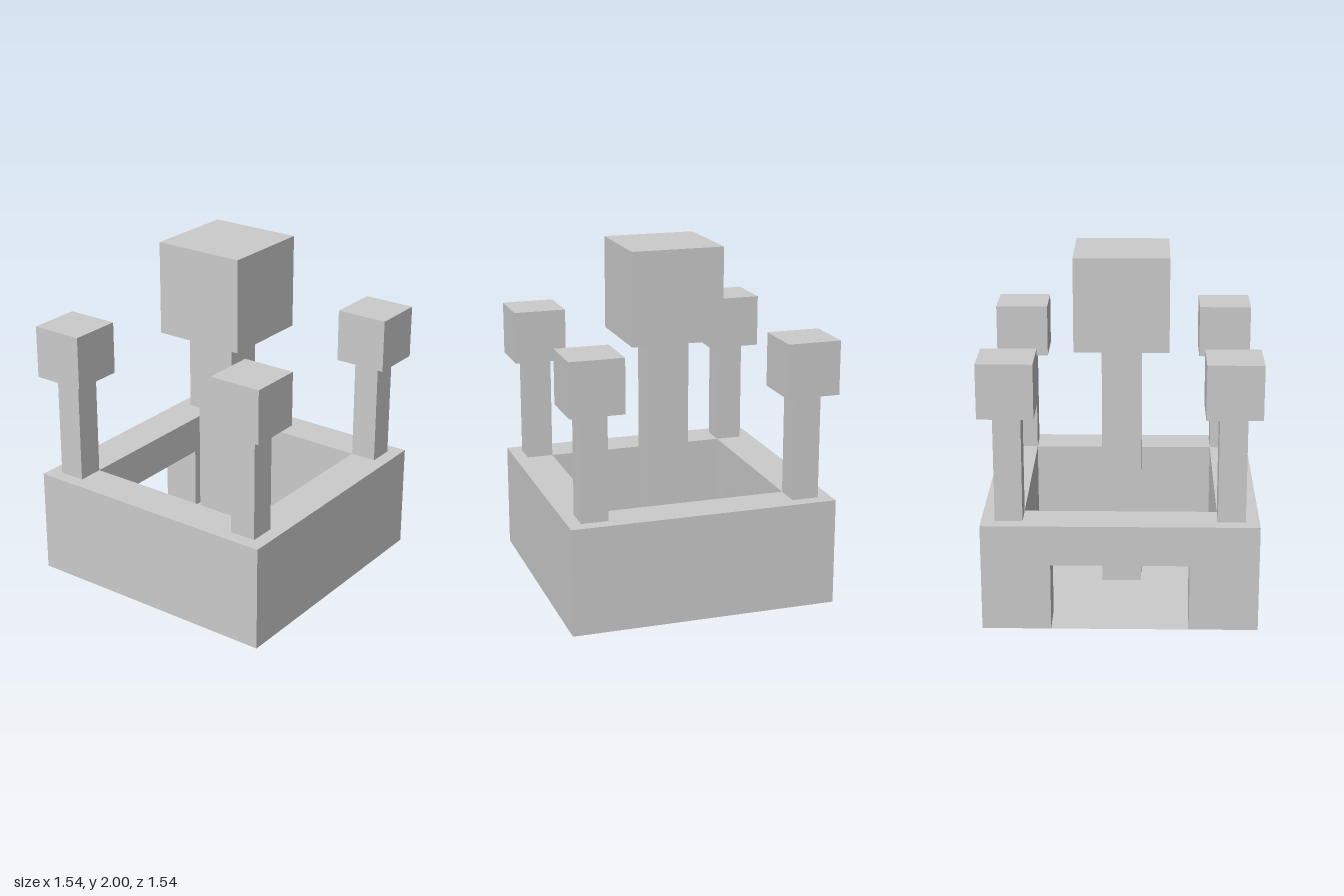
import * as THREE from 'three';
import { mergeGeometries } from 'three/addons/utils/BufferGeometryUtils.js';

// Everything sits on a grid of 26 units for the full height.
const U = 2 / 26;
const mat = new THREE.MeshStandardMaterial({ color: 0xcccccc, flatShading: true, side: THREE.DoubleSide });

function add(parent, name, geometry, x = 0, y = 0, z = 0) {
  const mesh = new THREE.Mesh(geometry, mat);
  mesh.name = name;
  mesh.position.set(x, y, z);
  parent.add(mesh);
  return mesh;
}

function square(half, Type = THREE.Shape) {
  return new Type([
    new THREE.Vector2(-half, -half), new THREE.Vector2(half, -half),
    new THREE.Vector2(half, half), new THREE.Vector2(-half, half),
  ]);
}

// Flat square lying at height y, with a square hole in it
function squareRing(half, holeHalf, y) {
  const shape = square(half);
  shape.holes.push(square(holeHalf, THREE.Path));
  return new THREE.ShapeGeometry(shape).rotateX(-Math.PI / 2).translate(0, y, 0);
}

// Upright wall face, optionally with a doorway rising from the ground
function wallFace(half, height, door) {
  const pts = [[-half, 0]];
  if (door) pts.push([-door.half, 0], [-door.half, door.height], [door.half, door.height], [door.half, 0]);
  pts.push([half, 0], [half, height], [-half, height]);
  return new THREE.ShapeGeometry(new THREE.Shape(pts.map(p => new THREE.Vector2(...p))));
}

export function createModel() {
  const model = new THREE.Group();
  model.name = 'courtyardTower';

  const outer = 10, inner = 7, height = 8, thick = outer - inner;
  const door = { half: 5, height: 5 };

  // Courtyard wall: outer and inner skin on four sides, doorway on the -x side
  const skins = [squareRing(outer, inner, height)];
  for (let i = 0; i < 4; i++) {
    const opening = i === 3 ? door : null;
    const side = [
      wallFace(outer, height, opening).translate(0, 0, outer),
      wallFace(inner, height, opening).rotateY(Math.PI).translate(0, 0, inner),
    ];
    if (opening) {
      const mid = (outer + inner) / 2;
      // Jambs and lintel of the doorway
      for (const s of [-1, 1]) {
        side.push(new THREE.PlaneGeometry(thick, door.height).rotateY(-s * Math.PI / 2)
          .translate(s * door.half, door.height / 2, mid));
      }
      side.push(new THREE.PlaneGeometry(door.half * 2, thick).rotateX(Math.PI / 2)
        .translate(0, door.height, mid));
    }
    skins.push(...side.map(g => g.rotateY(i * Math.PI / 2)));
  }
  add(model, 'courtyardWall', mergeGeometries(skins).scale(U, U, U));

  // Floor, open beneath the hollow central column; faces point down
  add(model, 'floor', squareRing(outer, 1.5, 0).rotateX(Math.PI).scale(U, U, U));

  // Central column and its block
  const column = new THREE.CylinderGeometry(1.5 * Math.SQRT2, 1.5 * Math.SQRT2, 19, 4, 1, true)
    .rotateY(Math.PI / 4).scale(U, U, U);
  add(model, 'centralColumn', column, 0, 9.5 * U, 0);
  add(model, 'centralBlock', new THREE.BoxGeometry(7 * U, 7 * U, 7 * U), 0, 22.5 * U, 0);

  // Four corner pillars with their blocks
  for (const sx of [-1, 1]) {
    for (const sz of [-1, 1]) {
      const turret = new THREE.Group();
      turret.name = 'cornerTurret';
      turret.position.set(8 * sx * U, height * U, 8 * sz * U);
      add(turret, 'cornerPillar', new THREE.BoxGeometry(2 * U, 8 * U, 2 * U), 0, 4 * U, 0);
      add(turret, 'cornerBlock', new THREE.BoxGeometry(4 * U, 4 * U, 4 * U), 0, 10 * U, 0);
      model.add(turret);
    }
  }
  return model;
}
